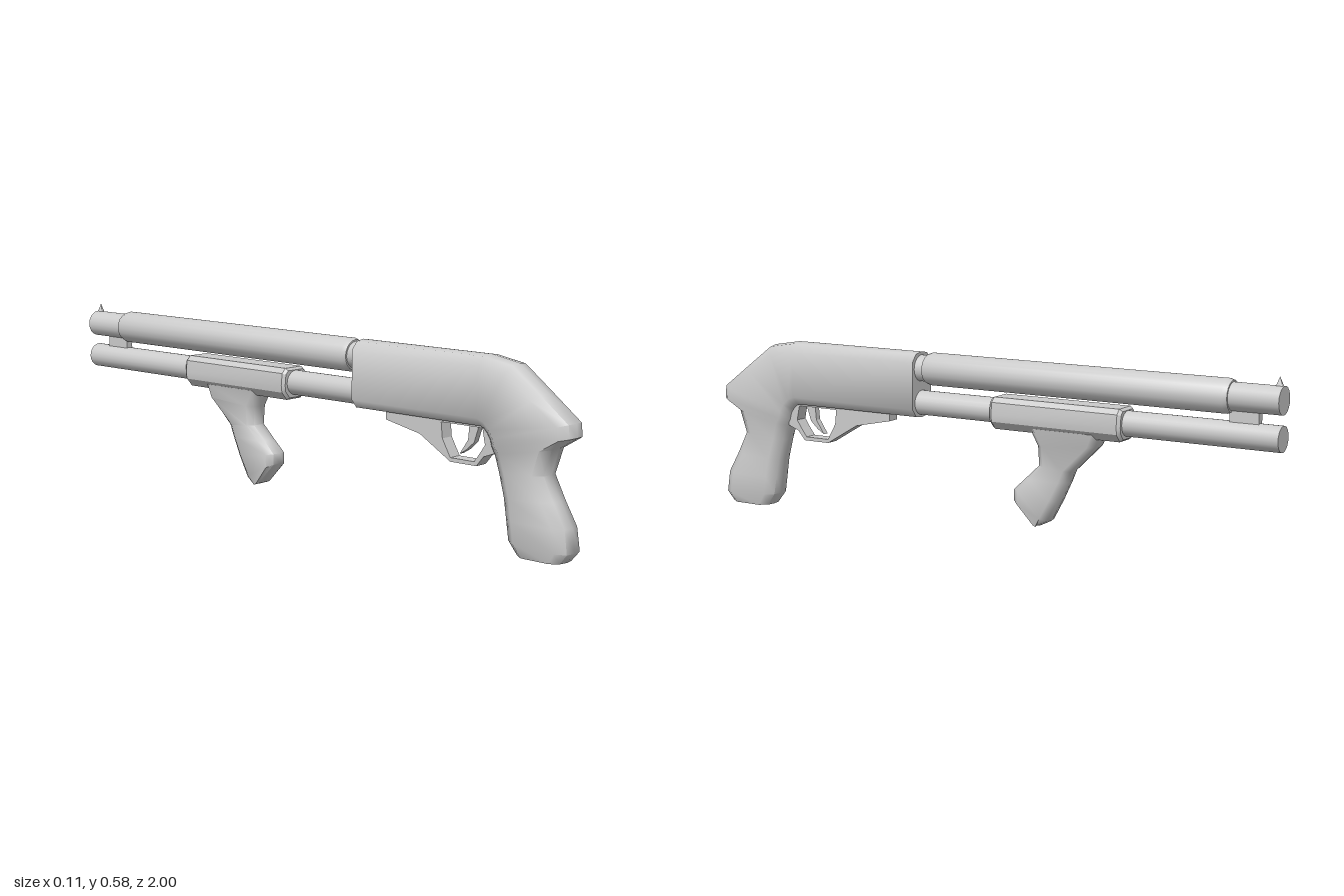
import * as THREE from 'three';
import { toCreasedNormals } from 'three/addons/utils/BufferGeometryUtils.js';

const material = new THREE.MeshStandardMaterial({ color: 0xcccccc });

function add(group, name, geometry) {
  const mesh = new THREE.Mesh(geometry, material);
  mesh.name = name;
  group.add(mesh);
}

// Skins chamfered cross-sections; station = [rear z, rear y, front z, front y, half width, chamfer]
function loft(stations, crease = 0.9) {
  const pos = [], index = [], n = 10;
  for (const [z1, y1, z2, y2, w, c] of stations) {
    const len = Math.hypot(z2 - z1, y2 - y1);
    const half = [[0, 0], [0.6, 0.005], [1, c], [1, len - c], [0.6, len - 0.005], [0, len]];
    const ring = [...half, ...half.slice(1, 5).reverse().map(([x, d]) => [-x, d])];
    for (const [x, d] of ring) {
      const t = d / len;
      pos.push(x * w, y1 + (y2 - y1) * t, z1 + (z2 - z1) * t);
    }
  }
  const last = (stations.length - 1) * n;
  for (let i = 0; i < last; i += n) {
    for (let j = 0; j < n; j++) {
      const k = (j + 1) % n;
      index.push(i + j, i + n + j, i + n + k, i + j, i + n + k, i + k);
    }
  }
  for (let j = 1; j < n - 1; j++) {
    index.push(0, j, j + 1, last, last + j + 1, last + j);
  }
  const g = new THREE.BufferGeometry();
  g.setAttribute('position', new THREE.Float32BufferAttribute(pos, 3));
  g.setIndex(index);
  return toCreasedNormals(g, crease);
}

// Side profile of [z, y] points, extruded across x
function plate(points, width, hole) {
  const shape = new THREE.Shape(points.map(p => new THREE.Vector2(...p)));
  if (hole) shape.holes.push(new THREE.Path(hole.map(p => new THREE.Vector2(...p))));
  const g = new THREE.ExtrudeGeometry(shape, { depth: width, bevelEnabled: false });
  return g.translate(0, 0, -width / 2).rotateY(-Math.PI / 2);
}

// Turned part along z; profile = [radius, z] from front end (-z) to rear
function turned(profile, y) {
  const g = new THREE.LatheGeometry(profile.map(p => new THREE.Vector2(...p)), 20);
  return toCreasedNormals(g.rotateX(Math.PI / 2).translate(0, y, 0), 0.6);
}

export function createModel() {
  const model = new THREE.Group();
  model.name = 'pumpGun';

  // Receiver flowing into the rear grip
  add(model, 'receiverAndGrip', loft([
    [0.22, 0.56, 0.22, 0.35, 0.052, 0.03],
    [0.70, 0.56, 0.69, 0.35, 0.052, 0.03],
    [0.80, 0.543, 0.70, 0.345, 0.052, 0.03],
    [0.90, 0.468, 0.71, 0.335, 0.052, 0.03],
    [0.995, 0.395, 0.72, 0.32, 0.052, 0.03],
    [1.0, 0.355, 0.725, 0.30, 0.051, 0.03],
    [0.94, 0.318, 0.735, 0.28, 0.048, 0.035],
    [0.915, 0.24, 0.75, 0.23, 0.045, 0.035],
    [0.95, 0.17, 0.77, 0.16, 0.048, 0.035],
    [0.99, 0.10, 0.78, 0.10, 0.05, 0.035],
    [1.0, 0.03, 0.79, 0.04, 0.052, 0.035],
    [0.975, 0, 0.82, 0, 0.047, 0.03],
  ]));

  // Barrel, its outer shield and the magazine tube
  add(model, 'barrel', turned([[0, -1], [0.042, -1], [0.042, 0.23], [0, 0.23]], 0.508));
  add(model, 'barrelShield', turned([
    [0.04, -0.845], [0.047, -0.845], [0.052, -0.83], [0.052, 0.175], [0.047, 0.19], [0.04, 0.19],
  ], 0.508));
  add(model, 'magazineTube', turned([[0, -1], [0.039, -1], [0.039, 0.23], [0, 0.23]], 0.398));

  // Lug joining barrel and tube
  add(model, 'barrelLug', new THREE.BoxGeometry(0.024, 0.06, 0.09).translate(0, 0.452, -0.885));

  // Pointed front sight
  const sight = new THREE.ConeGeometry(0.008, 0.03, 4).rotateY(Math.PI / 4);
  add(model, 'frontSight', sight.scale(1, 1, 2).translate(0, 0.561, -0.985));

  // Sliding sleeve with slightly narrowed ends
  const half = [[0.036, 0.445], [0.051, 0.43], [0.055, 0.392], [0.052, 0.37], [0.03, 0.345]];
  const outline = [...half, ...half.map(([x, y]) => [-x, y]).reverse()];
  const sleeveShape = new THREE.Shape(outline.map(([x, y]) => new THREE.Vector2(x, y - 0.395)));
  const sleeve = new THREE.ExtrudeGeometry(sleeveShape, {
    depth: 0.43, bevelThickness: 0.01, bevelSize: 0.007, bevelOffset: -0.007, bevelSegments: 1,
  });
  add(model, 'slideSleeve', toCreasedNormals(sleeve.translate(0, 0.395, -0.5), 0.5));

  // Angled grip below the sleeve
  add(model, 'foreGrip', loft([
    [-0.185, 0.36, -0.437, 0.36, 0.044, 0.025],
    [-0.215, 0.305, -0.42, 0.32, 0.042, 0.025],
    [-0.217, 0.245, -0.335, 0.235, 0.036, 0.025],
    [-0.17, 0.20, -0.32, 0.20, 0.037, 0.025],
    [-0.13, 0.163, -0.29, 0.137, 0.04, 0.025],
    [-0.13, 0.13, -0.255, 0.072, 0.04, 0.025],
    [-0.205, 0.058, -0.217, 0.053, 0.032, 0.002],
  ]));

  // Trigger guard with its tapering front plate
  add(model, 'triggerGuard', plate([
    [0.33, 0.36], [0.33, 0.33], [0.46, 0.303], [0.55, 0.25], [0.575, 0.235], [0.67, 0.235],
    [0.695, 0.265], [0.735, 0.28], [0.735, 0.36],
  ], 0.044, [
    [0.54, 0.348], [0.545, 0.30], [0.575, 0.247], [0.662, 0.247], [0.683, 0.275], [0.70, 0.30], [0.69, 0.348],
  ]));

  // Curved trigger
  add(model, 'trigger', plate([
    [0.635, 0.36], [0.63, 0.305], [0.60, 0.26], [0.625, 0.275], [0.652, 0.30], [0.672, 0.36],
  ], 0.02));

  return model;
}
